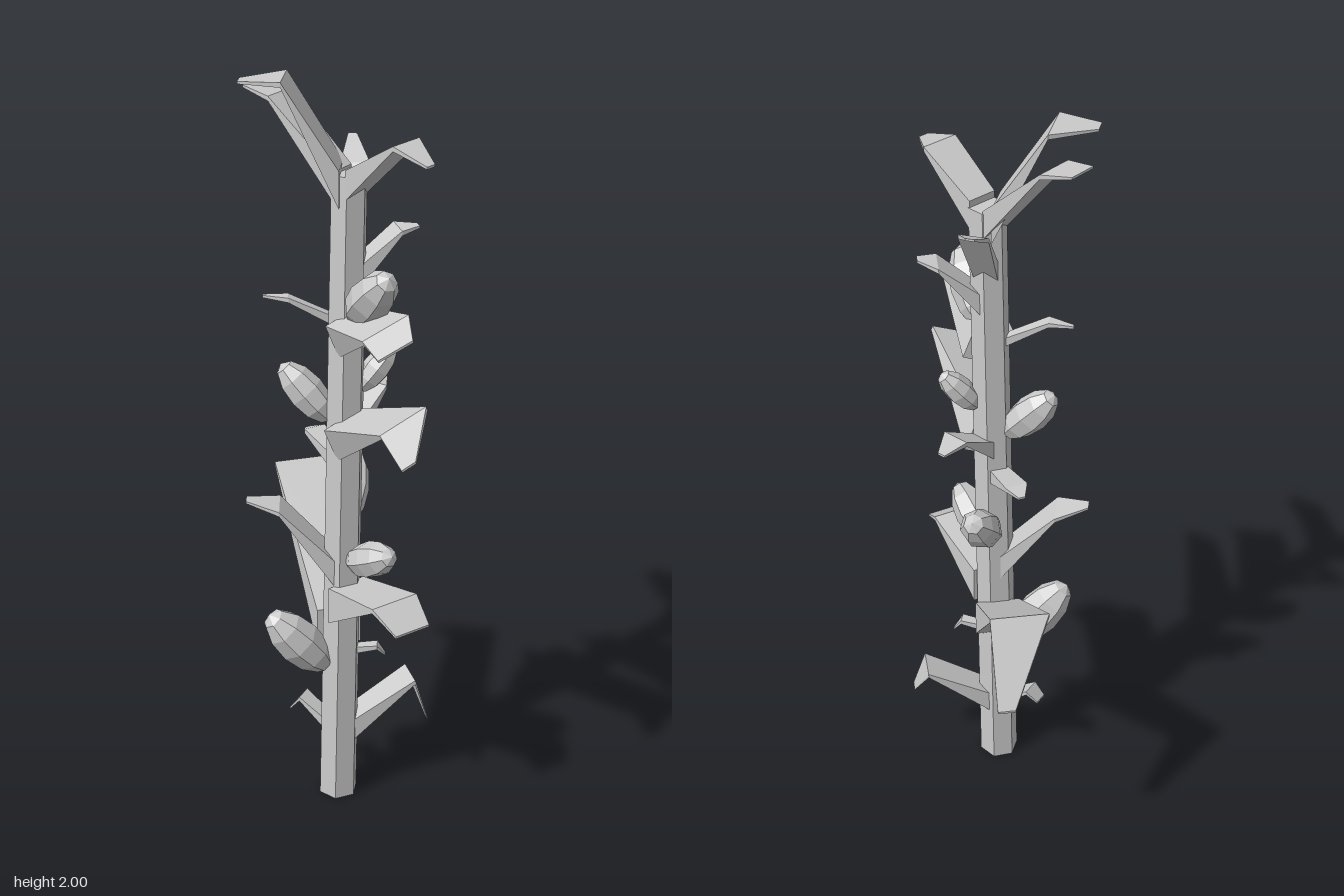
import * as THREE from 'three';

const material = new THREE.MeshStandardMaterial({ color: 0xcccccc, flatShading: true });
const UP = new THREE.Vector3(0, 1, 0);
const HEIGHT = 1.77;

function addMesh(group, geometry, name) {
  const mesh = new THREE.Mesh(geometry, material);
  mesh.name = name;
  group.add(mesh);
  return mesh;
}

// Centre of the leaning stalk at height y
function stalkCentre(y) {
  const t = y / HEIGHT;
  return new THREE.Vector3(-0.032 + 0.03 * t, y, 0.045 + 0.005 * t);
}

// Point around the stalk: angle in degrees, 0 = front, 90 = +x
function around(y, angle, reach, rise) {
  const a = THREE.MathUtils.degToRad(angle);
  return stalkCentre(y).add(new THREE.Vector3(Math.sin(a) * reach, rise, Math.cos(a) * reach));
}

// Bent leaf: a deep wedge rising from the stalk, folding into a thin tip
function addLeaf(group, taper, [y, angle, bendReach, bendRise, tipAngle, tipReach, tipRise, width, roll = 0]) {
  const sections = [
    { centre: around(y, angle, 0.02, 0), width: width * 0.8, depth: width * 0.75 },
    { centre: around(y, angle, bendReach, bendRise), width, depth: 0.012 },
    { centre: around(y, tipAngle, tipReach, tipRise), width: width * taper, depth: 0.006 },
  ];
  const outward = sections[1].centre.clone().sub(sections[0].centre).setY(0).normalize();
  const up = UP.clone().applyAxisAngle(outward, THREE.MathUtils.degToRad(roll));
  const side = outward.clone().cross(up);
  const positions = [];
  for (const section of sections) {
    for (const [s, u] of [[-1, -1], [1, -1], [1, 1], [-1, 1]]) {
      const corner = section.centre.clone()
        .addScaledVector(side, s * section.width / 2)
        .addScaledVector(up, u * section.depth / 2);
      positions.push(...corner.toArray());
    }
  }
  const index = [0, 1, 2, 0, 2, 3, 8, 10, 9, 8, 11, 10];
  for (let ring = 0; ring < 8; ring += 4) {
    for (let k = 0; k < 4; k++) {
      const a = ring + k, b = ring + (k + 1) % 4;
      index.push(a, a + 4, b + 4, a, b + 4, b);
    }
  }
  const indexed = new THREE.BufferGeometry();
  indexed.setAttribute('position', new THREE.Float32BufferAttribute(positions, 3));
  indexed.setIndex(index);
  const geometry = indexed.toNonIndexed();
  geometry.computeVertexNormals();
  addMesh(group, geometry, 'leaf');
}

// Faceted bud growing outwards and upwards from the stalk
function addBud(group, [y, angle, reach, rise]) {
  const foot = around(y, angle, 0.035, 0);
  const axis = around(y, angle, reach, rise).sub(foot);
  const length = axis.length();
  const geometry = new THREE.SphereGeometry(1, 7, 6);
  geometry.scale(length * 0.25, length / 2, length * 0.25);
  const bud = addMesh(group, geometry, 'bud');
  bud.position.copy(foot).addScaledVector(axis, 0.5);
  bud.quaternion.setFromUnitVectors(UP, axis.normalize());
}

export function createModel() {
  const model = new THREE.Group();
  model.name = 'plant';

  // Stalk, leaning slightly to one side
  const stalk = new THREE.CylinderGeometry(0.047, 0.054, HEIGHT, 6, 1);
  stalk.rotateY(Math.PI / 12);
  stalk.translate(0, HEIGHT / 2, 0);
  const p = stalk.attributes.position;
  for (let i = 0; i < p.count; i++) {
    const centre = stalkCentre(p.getY(i));
    p.setX(i, p.getX(i) + centre.x);
    p.setZ(i, p.getZ(i) + centre.z);
  }
  stalk.computeVertexNormals();
  addMesh(model, stalk, 'stalk');

  // Leaves: height, angle, bend reach and rise, tip angle, reach and rise, width, roll
  const pointedLeaves = [
    [1.75, 13, 0.17, 0.12, 6, 0.27, 0.093, 0.1],
    [1.74, -133, 0.155, 0.252, -128, 0.26, 0.25, 0.125],
    [1.6, 135, 0.13, 0.15, 140, 0.227, 0.2, 0.075],
    [1.51, 67, 0.126, 0.11, 63, 0.175, 0.118, 0.08],
    [1.39, -124, 0.144, 0.065, -129, 0.207, 0.065, 0.035],
    [1.09, -10, 0.306, 0.15, -15, 0.397, 0.08, 0.135, 22],
    [1.08, 110, 0.142, 0.09, 114, 0.213, 0.085, 0.075],
    [1.0, 174, 0.149, 0.04, 174, 0.184, 0.03, 0.06],
    [0.7, -127, 0.162, 0.18, -126, 0.248, 0.2, 0.1],
    [0.51, 159, 0.401, 0.315, 153.5, 0.53, 0.12, 0.15],
    [0.45, 49, 0.098, 0.015, 52, 0.12, -0.015, 0.03],
    [0.2, 69, 0.202, 0.135, 58, 0.24, 0.02, 0.09],
  ];
  const bluntLeaves = [
    [1.74, -161, 0.2, 0.19, -160, 0.28, 0.207, 0.1],
    [1.37, -13, 0.227, 0.08, -13, 0.28, 0.045, 0.13, 22],
    [0.61, -2, 0.233, 0.09, -2, 0.31, 0.045, 0.14],
    [0.2, -152, 0.109, 0.075, -148, 0.137, 0.04, 0.05],
  ];
  for (const leaf of pointedLeaves) addLeaf(model, 0.3, leaf);
  for (const leaf of bluntLeaves) addLeaf(model, 0.75, leaf);

  // Buds: height, angle, reach, rise
  const buds = [
    [1.41, -7, 0.197, 0.155],
    [1.2, 71, 0.129, 0.11],
    [1.12, -138, 0.165, 0.145],
    [0.81, 133, 0.187, 0.145],
    [0.73, 0, 0.208, 0.09],
    [0.4, -112, 0.195, 0.185],
  ];
  for (const bud of buds) addBud(model, bud);

  return model;
}
